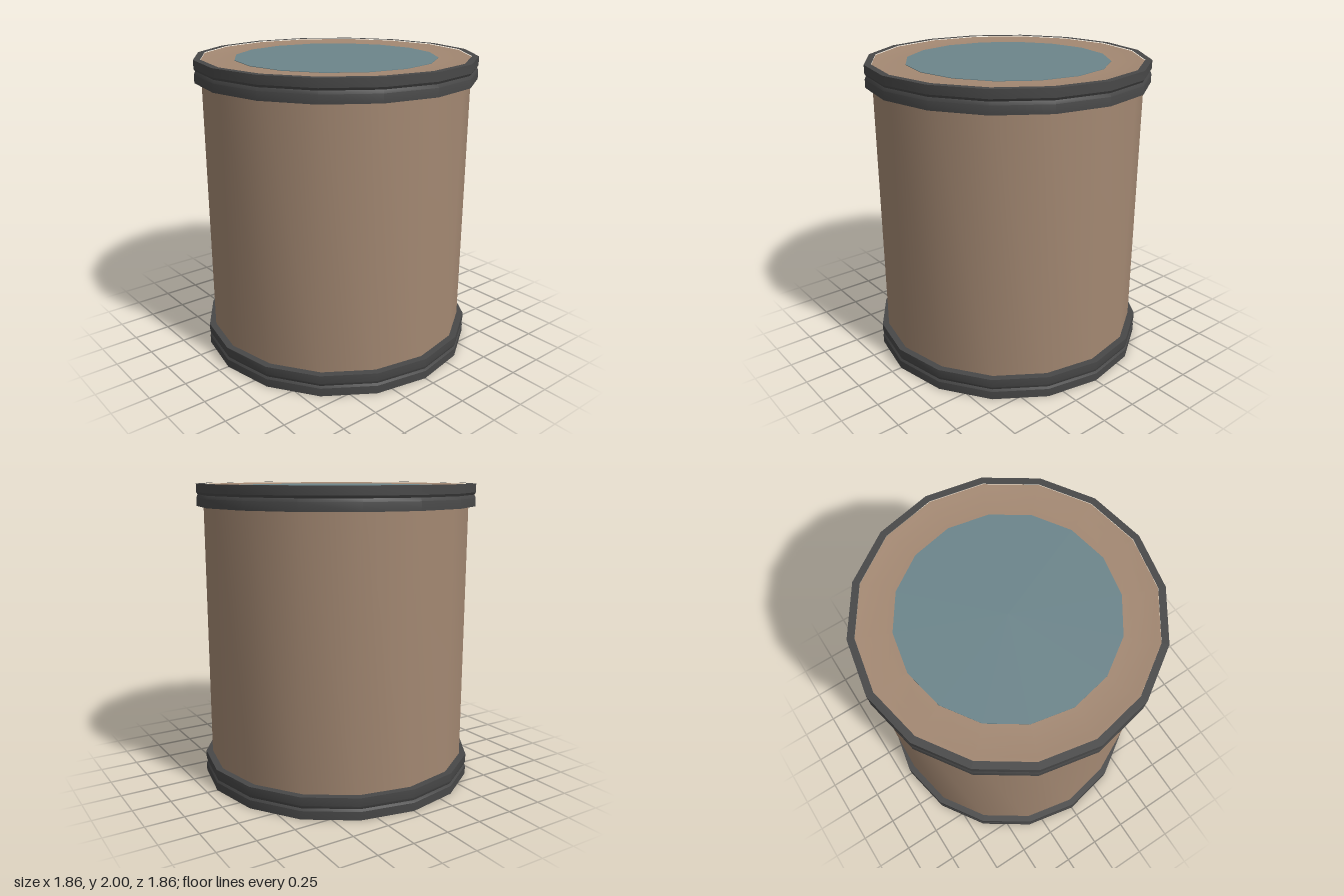
import * as THREE from 'three';
import { toCreasedNormals } from 'three/addons/utils/BufferGeometryUtils.js';

const SIDES = 16;

// Sixteen-sided turned part: smooth around, sharp at profile corners
function turned(name, profile, material) {
  const points = profile.map(([r, y]) => new THREE.Vector2(r, y));
  const geometry = toCreasedNormals(new THREE.LatheGeometry(points, SIDES), 0.5);
  const mesh = new THREE.Mesh(geometry, material);
  mesh.name = name;
  return mesh;
}

export function createModel() {
  const tan = new THREE.MeshStandardMaterial({ name: 'tan shell', color: 0xa38872 });
  const teal = new THREE.MeshStandardMaterial({ name: 'teal paint', color: 0x6c858b });
  const dark = new THREE.MeshStandardMaterial({ name: 'dark hoop', color: 0x484848 });

  const group = new THREE.Group();
  group.name = 'drum';

  // Shell with a flat base and a shallow border around the head
  group.add(turned('shell', [
    [0, 0.003], [0.885, 0.003], [0.885, 1.995], [0.86, 1.993], [0.8, 1.985], [0.67, 1.985],
  ], tan));

  // Painted centre of the drum head
  group.add(turned('headDisc', [
    [0.67, 1.98], [0.67, 1.988], [0, 1.988],
  ], teal));

  // Grooved hoops at both ends
  const hoop = [
    [0.885, 0], [0.93, 0], [0.93, 0.055], [0.921, 0.07], [0.93, 0.09], [0.93, 0.145], [0.885, 0.145],
  ];
  group.add(turned('bottomHoop', hoop, dark));
  const topHoop = hoop.map(([r, y]) => [r, 2 - y]).reverse();
  group.add(turned('topHoop', topHoop, dark));

  return group;
}
